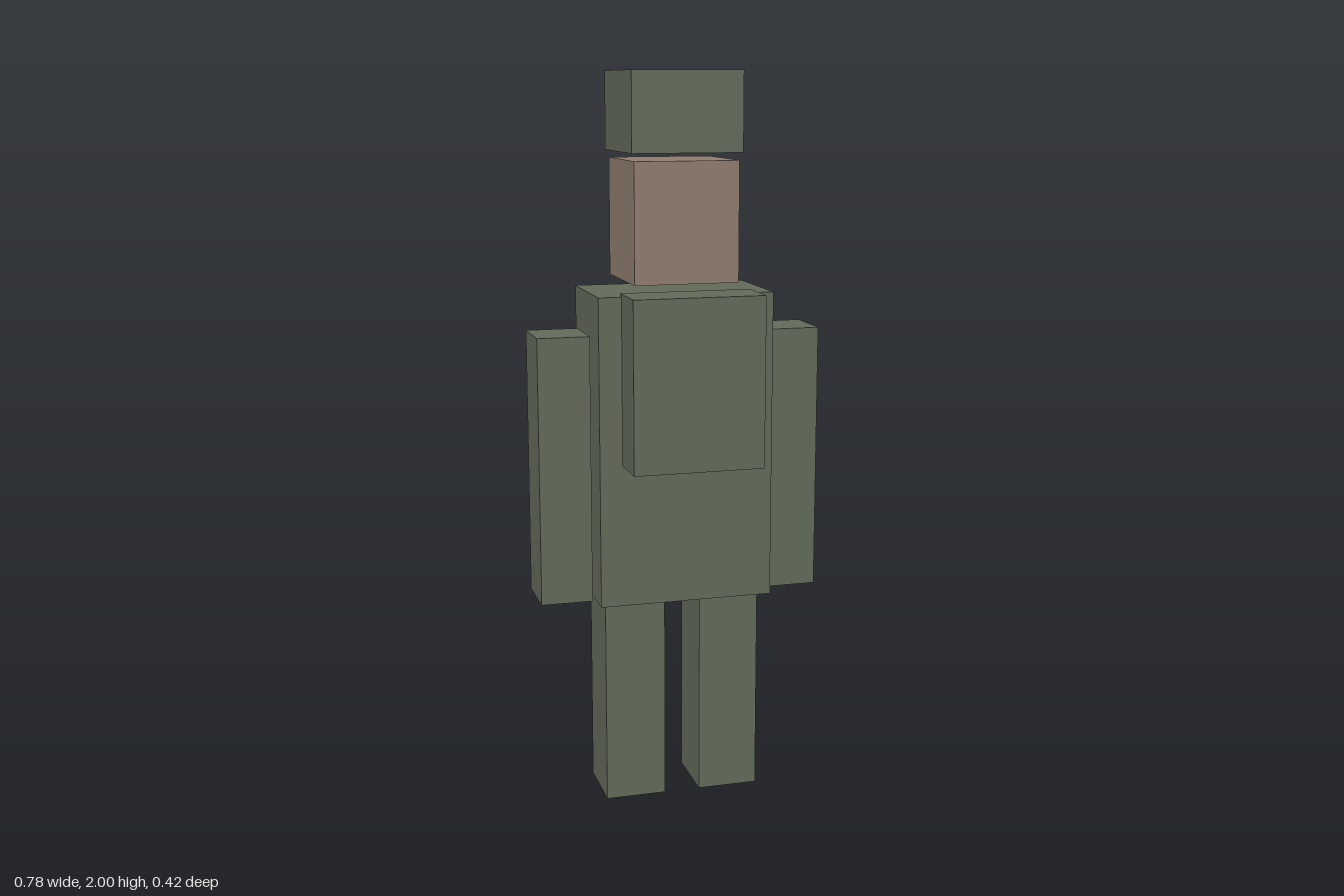
import * as THREE from 'three';

export function createModel() {
  const model = new THREE.Group();
  model.name = 'blockSoldier';

  const olive = new THREE.MeshStandardMaterial({ color: 0x626b59 });
  olive.name = 'olive cloth';
  const skin = new THREE.MeshStandardMaterial({ color: 0x8f7d6d });
  skin.name = 'tan skin';

  // Box given by its lower and upper limits on each axis
  function block(name, material, [x0, x1], [y0, y1], [z0, z1]) {
    const mesh = new THREE.Mesh(new THREE.BoxGeometry(x1 - x0, y1 - y0, z1 - z0), material);
    mesh.position.set((x0 + x1) / 2, (y0 + y1) / 2, (z0 + z1) / 2);
    mesh.name = name;
    model.add(mesh);
  }

  // Helmet floating above the head
  block('helmet', olive, [-0.15, 0.15], [1.79, 2], [-0.21, 0.091]);
  block('head', skin, [-0.142, 0.142], [1.45, 1.77], [-0.201, 0.083]);

  // Body with a pack sunk slightly into the chest
  block('torso', olive, [-0.24, 0.24], [0.58, 1.422], [-0.202, 0.083]);
  block('chestPack', olive, [-0.178, 0.178], [0.97, 1.43], [0.067, 0.21]);

  // Mirrored limbs
  for (const [side, s] of [['left', 1], ['right', -1]]) {
    const span = (a, b) => (s > 0 ? [a, b] : [-b, -a]);
    block(side + 'Arm', olive, span(0.25, 0.392), [0.58, 1.312], [-0.138, 0.02]);
    block(side + 'Leg', olive, span(0.05, 0.218), [0, 0.572], [-0.15, 0.035]);
  }

  return model;
}
